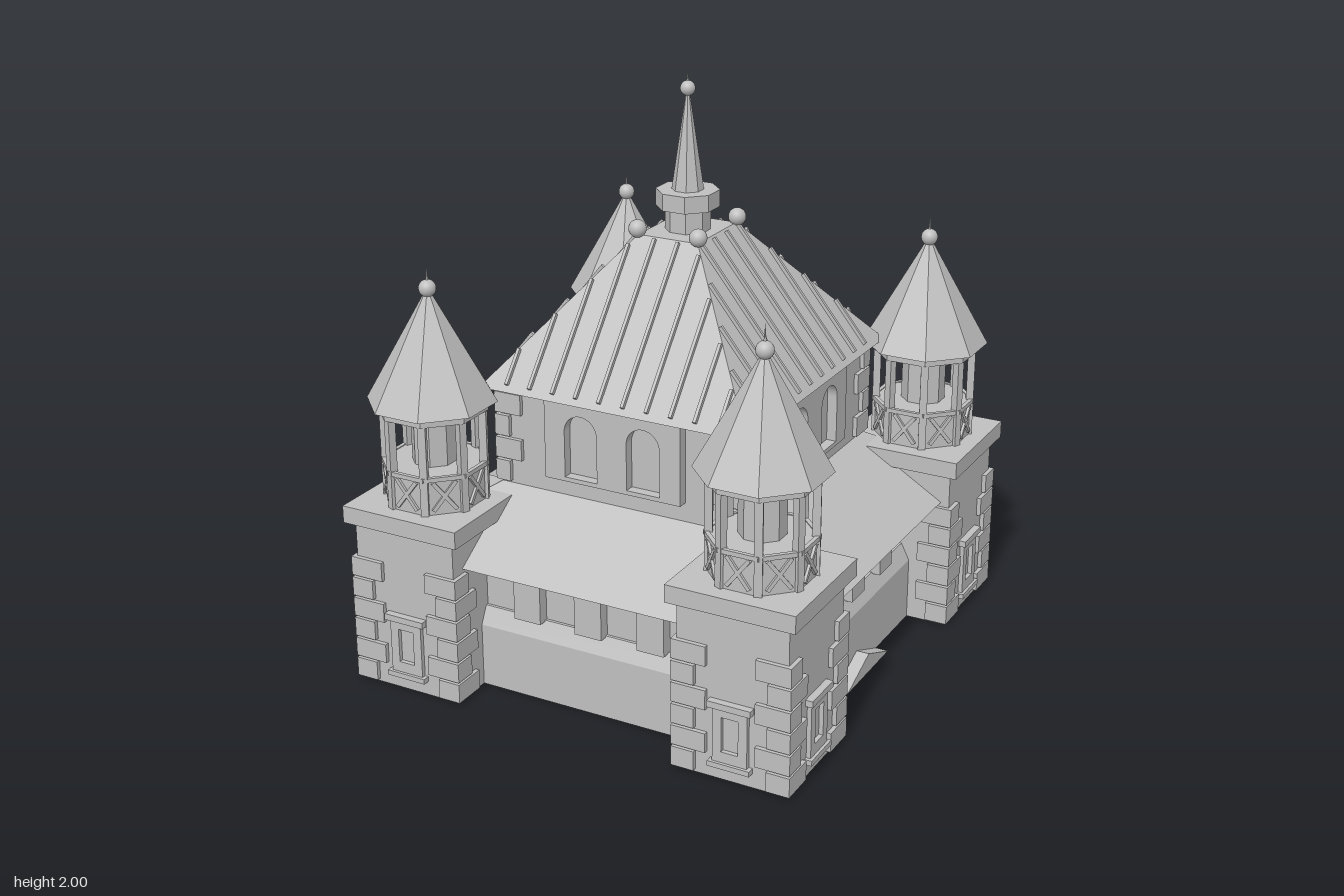
import * as THREE from 'three';

const stone = new THREE.MeshStandardMaterial({ color: 0xbfbfbf });
stone.name = 'grey stone';

function add(parent, name, geo, x = 0, y = 0, z = 0) {
  const m = new THREE.Mesh(geo, stone);
  m.name = name;
  m.position.set(x, y, z);
  parent.add(m);
  return m;
}

// box resting on y0
function block(parent, name, w, y0, y1, d, x = 0, z = 0) {
  return add(parent, name, new THREE.BoxGeometry(w, y1 - y0, d), x, (y0 + y1) / 2, z);
}

// eight-sided prism or cone with flats facing front; radii are measured to the flats
function octagon(parent, name, rTop, rBottom, y0, y1) {
  const k = 1 / Math.cos(Math.PI / 8);
  const g = new THREE.CylinderGeometry(rTop * k, rBottom * k, y1 - y0, 8).rotateY(Math.PI / 8).toNonIndexed();
  g.computeVertexNormals();
  return add(parent, name, g, 0, (y0 + y1) / 2, 0);
}

// four-sided hipped block with a smaller top
function hipped(parent, name, bx, bz, tx, tz, y0, y1) {
  const g = new THREE.BoxGeometry(2 * bx, y1 - y0, 2 * bz);
  const p = g.attributes.position;
  for (let i = 0; i < p.count; i++) {
    if (p.getY(i) > 0) {
      p.setX(i, Math.sign(p.getX(i)) * tx);
      p.setZ(i, Math.sign(p.getZ(i)) * tz);
    }
  }
  g.computeVertexNormals();
  return add(parent, name, g, 0, (y0 + y1) / 2, 0);
}

function finial(parent, r, y, tip) {
  add(parent, 'finialBall', new THREE.SphereGeometry(r, 20, 14), 0, y, 0);
  add(parent, 'finialSpike', new THREE.ConeGeometry(0.007, tip - y, 8), 0, (y + tip) / 2, 0);
}

// stepped corner stones on the four corners of a rectangular block
function quoins(parent, hx, hz, y0, rows, pitch, long, short) {
  const out = 0.015;
  for (const sx of [-1, 1]) for (const sz of [-1, 1]) for (let i = 0; i < rows; i++) {
    const lx = i % 2 ? long : short, lz = i % 2 ? short : long;
    block(parent, 'cornerStone', lx, y0 + i * pitch, y0 + (i + 1) * pitch - 0.008, lz,
      sx * (hx + out - lx / 2), sz * (hz + out - lz / 2));
  }
}

function rectPath(Type, x, y0, w, y1) {
  const s = new Type();
  s.moveTo(x - w / 2, y0);
  s.lineTo(x + w / 2, y0);
  s.lineTo(x + w / 2, y1);
  s.lineTo(x - w / 2, y1);
  s.closePath();
  return s;
}

const extrude = (shape, depth) =>
  new THREE.ExtrudeGeometry(shape, { depth, bevelEnabled: false, curveSegments: 12 });

// raised panel with two arched openings
function archPanel() {
  const s = rectPath(THREE.Shape, 0, 0.725, 0.5, 1.0);
  for (const x of [-0.115, 0.115]) {
    const h = new THREE.Path();
    h.moveTo(x - 0.06, 0.74);
    h.lineTo(x + 0.06, 0.74);
    h.lineTo(x + 0.06, 0.9);
    h.absarc(x, 0.9, 0.06, 0, Math.PI, false);
    h.closePath();
    s.holes.push(h);
  }
  return extrude(s, 0.035);
}

function towerWindow() {
  const g = new THREE.Group();
  g.name = 'towerWindow';
  const s = rectPath(THREE.Shape, 0, 0.065, 0.12, 0.255);
  s.holes.push(rectPath(THREE.Path, 0, 0.105, 0.058, 0.225));
  add(g, 'windowFrame', extrude(s, 0.015));
  block(g, 'windowHead', 0.15, 0.255, 0.277, 0.025, 0, 0.0125);
  block(g, 'windowSill', 0.145, 0.05, 0.068, 0.025, 0, 0.0125);
  return g;
}

function cornerTower(sx, sz) {
  const t = new THREE.Group();
  t.name = 'cornerTower';
  t.position.set(0.6 * sx, 0, 0.637 * sz);
  block(t, 'towerShaft', 0.38, 0, 0.575, 0.39);
  block(t, 'towerCornice', 0.44, 0.575, 0.635, 0.44);
  quoins(t, 0.19, 0.195, 0.01, 6, 0.075, 0.12, 0.08);
  const front = towerWindow();
  front.position.z = 0.195 * sz;
  front.rotation.y = sz > 0 ? 0 : Math.PI;
  const side = towerWindow();
  side.position.x = 0.19 * sx;
  side.rotation.y = sx * Math.PI / 2;
  t.add(front, side);

  // lantern with braced parapet and open posts
  octagon(t, 'lanternParapet', 0.158, 0.158, 0.635, 0.765);
  octagon(t, 'lanternCore', 0.07, 0.07, 0.765, 0.95);
  octagon(t, 'lanternRing', 0.17, 0.17, 0.945, 0.977);
  for (let i = 0; i < 8; i++) {
    const face = new THREE.Group();
    face.name = 'lanternBay';
    face.rotation.y = i * Math.PI / 4;
    for (const s of [-1, 1]) {
      const brace = add(face, 'crossBrace', new THREE.BoxGeometry(0.013, 0.125, 0.012), 0, 0.7, 0.161);
      brace.rotation.z = s * 0.66;
    }
    block(face, 'parapetRail', 0.135, 0.753, 0.768, 0.014, 0, 0.16);
    t.add(face);
    const a = (i + 0.5) * Math.PI / 4;
    const post = block(t, 'lanternPost', 0.026, 0.635, 0.95, 0.026, 0.164 * Math.sin(a), 0.164 * Math.cos(a));
    post.rotation.y = a;
  }
  octagon(t, 'turretRoof', 0.008, 0.2, 0.975, 1.345);
  finial(t, 0.029, 1.355, 1.44);
  return t;
}

// ribs running up one slope of the main roof
function roofRibs(parent, eave, top, halfWidth, halfTop) {
  for (let i = -4.5; i <= 4.5; i++) {
    const u = i * 0.0865;
    const f0 = 0.04, f1 = Math.min(1, (halfWidth - Math.abs(u)) / (halfWidth - halfTop)) - 0.015;
    const dz = (top - eave) * (f1 - f0), dy = 0.47 * (f1 - f0), f = (f0 + f1) / 2;
    const rib = add(parent, 'roofRib', new THREE.BoxGeometry(0.011, Math.hypot(dy, dz), 0.024),
      u, 1 + 0.47 * f, eave + (top - eave) * f);
    rib.rotation.x = Math.atan2(dz, dy);
  }
}

export function createModel() {
  const model = new THREE.Group();
  model.name = 'castle';

  // ground storey and gallery
  block(model, 'lowerWalls', 1.3, 0, 0.22, 1.36);
  hipped(model, 'gallerySill', 0.65, 0.68, 0.62, 0.65, 0.22, 0.28);
  block(model, 'galleryWalls', 1.22, 0.28, 0.47, 1.28);
  hipped(model, 'lowerRoof', 0.76, 0.78, 0.44, 0.48, 0.468, 0.66);

  // upper storey and main roof
  block(model, 'upperWalls', 0.88, 0.5, 1.0, 0.96);
  quoins(model, 0.44, 0.48, 0.67, 4, 0.08, 0.1, 0.055);
  hipped(model, 'mainRoof', 0.49, 0.53, 0.11, 0.137, 1.0, 1.47);

  // details repeated on the four sides
  for (let k = 0; k < 4; k++) {
    const onX = k % 2 === 1;
    const side = new THREE.Group();
    side.name = 'sideDetails';
    side.rotation.y = k * Math.PI / 2;
    model.add(side);
    add(side, 'archedWindowPanel', archPanel(), 0, 0, onX ? 0.44 : 0.48);
    const gallery = onX ? 0.61 : 0.64;
    for (const x of [-0.23, 0, 0.23]) {
      block(side, 'galleryPier', 0.1, 0.275, 0.45, 0.06, x, gallery + 0.01);
      block(side, 'pierCap', 0.07, 0.45, 0.469, 0.06, x, gallery + 0.01);
    }
    if (onX) {
      roofRibs(side, 0.49, 0.11, 0.53, 0.137);
      const tri = new THREE.Shape([[-0.17, 0], [0.17, 0], [0, 0.07]].map(p => new THREE.Vector2(...p)));
      add(side, 'lowGable', extrude(tri, 0.05), 0, 0, 0.645);
    } else {
      roofRibs(side, 0.53, 0.137, 0.49, 0.11);
    }
  }

  // crown of the main roof
  for (const sx of [-1, 1]) for (const sz of [-1, 1]) {
    add(model, 'roofBall', new THREE.SphereGeometry(0.03, 20, 14), 0.112 * sx, 1.49, 0.138 * sz);
    model.add(cornerTower(sx, sz));
  }
  octagon(model, 'spireDrum', 0.07, 0.07, 1.465, 1.55);
  octagon(model, 'spireCollar', 0.098, 0.098, 1.548, 1.605);
  octagon(model, 'spire', 0.006, 0.05, 1.6, 1.925);
  finial(model, 0.025, 1.94, 2.0);
  return model;
}
